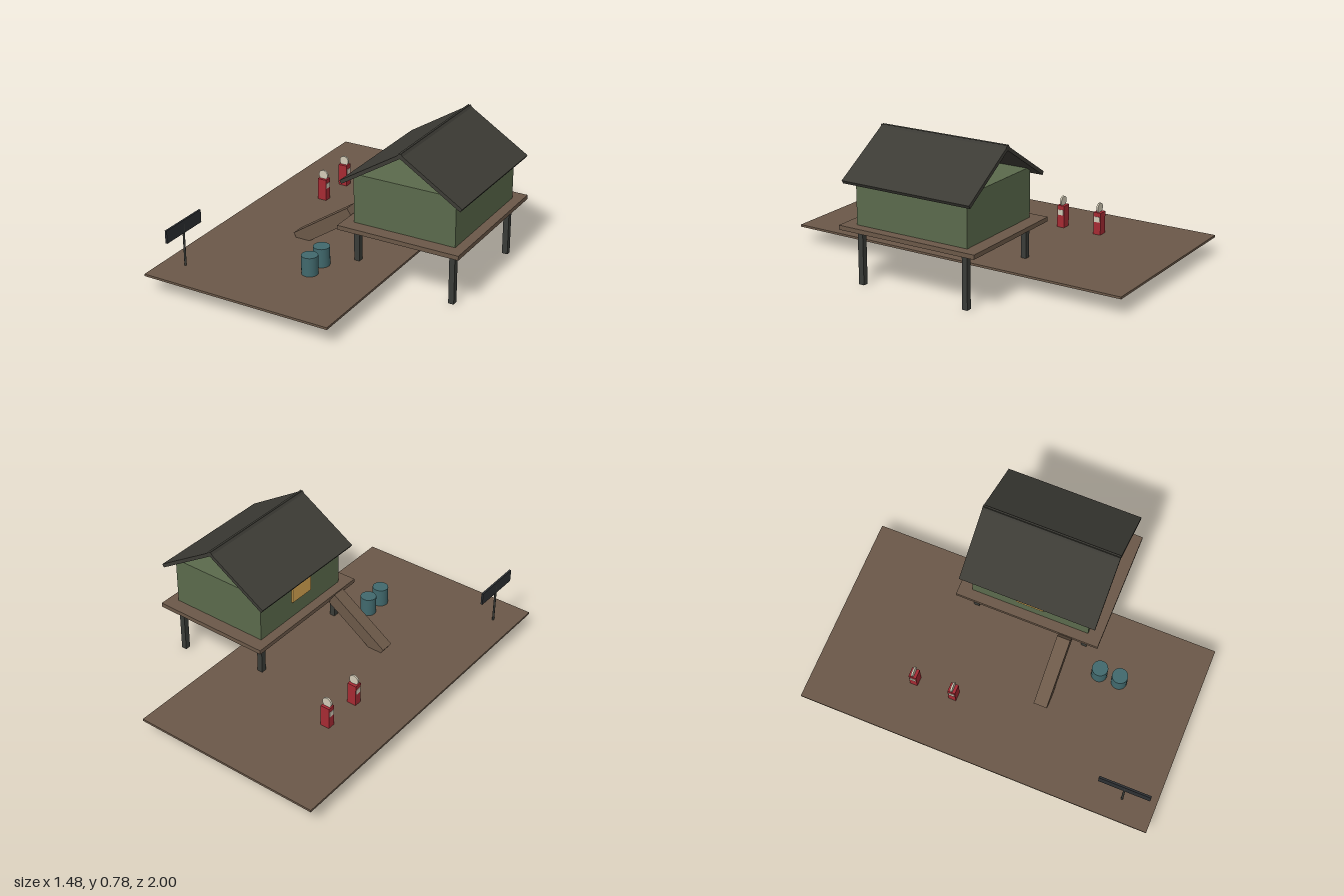
import * as THREE from 'three';

const mat = (name, color) => {
  const m = new THREE.MeshStandardMaterial({ color });
  m.name = name;
  return m;
};

export function createModel() {
  const wood = mat('brown wood', 0x6b5848);
  const green = mat('green wall paint', 0x5b6a4c);
  const roofing = mat('dark roofing', 0x3c3b35);
  const timber = mat('dark timber', 0x3a3c38);
  const teal = mat('teal steel', 0x41696d);
  const red = mat('red enamel', 0xa62a33);
  const cream = mat('cream', 0xd2cab6);
  const amber = mat('amber window', 0xd6a652);
  const board = mat('charcoal board', 0x2d3033);

  const model = new THREE.Group();
  model.name = 'stiltHouseDock';

  const add = (parent, name, geometry, material, x, y, z) => {
    const mesh = new THREE.Mesh(geometry, material);
    mesh.name = name;
    mesh.position.set(x, y, z);
    parent.add(mesh);
    return mesh;
  };
  // Box given by its size and centre
  const box = (parent, name, material, w, h, d, x, y, z) =>
    add(parent, name, new THREE.BoxGeometry(w, h, d), material, x, y, z);
  const group = (name) => {
    const g = new THREE.Group();
    g.name = name;
    model.add(g);
    return g;
  };

  // Lower platform
  box(model, 'platform', wood, 1.086, 0.012, 2, -0.198, 0.098, 0);

  // Stilt house
  const house = group('house');
  const hx = 0.394;
  box(house, 'deck', wood, 0.69, 0.024, 0.82, hx, 0.31, 0);
  for (const sx of [-1, 1]) {
    for (const sz of [-1, 1]) {
      box(house, 'stilt', timber, 0.031, 0.3, 0.031, hx + sx * 0.274, 0.15, sz * 0.318);
    }
  }
  box(house, 'walls', green, 0.58, 0.271, 0.67, hx, 0.457, 0);
  box(house, 'window', amber, 0.009, 0.107, 0.156, 0.0985, 0.472, 0);

  // Two roof slabs meeting at the ridge
  for (const s of [-1, 1]) {
    const slab = box(house, 'roofSlab', roofing, 0.415, 0.02, 0.765, hx + s * 0.164, 0.664, 0);
    slab.rotation.z = -s * 0.558;
  }

  // Ramp beam up to the deck
  const ramp = box(model, 'ramp', wood, 0.4, 0.075, 0.075, -0.125, 0.208, 0.227);
  ramp.rotation.z = 0.592;

  // Barrels
  for (const z of [0.457, 0.572]) {
    add(model, 'barrel', new THREE.CylinderGeometry(0.044, 0.044, 0.117, 24), teal, -0.017, 0.15, z);
  }

  // Pumps with a round head and a display on both sides
  for (const z of [-0.23, -0.457]) {
    const pump = group('pump');
    pump.position.set(-0.425, 0, z);
    box(pump, 'pumpBody', red, 0.053, 0.137, 0.043, 0, 0.16, 0);
    box(pump, 'pumpDisplay', cream, 0.058, 0.03, 0.034, 0, 0.19, 0);
    const head = add(pump, 'pumpHead', new THREE.CylinderGeometry(0.028, 0.028, 0.01, 24), cream, 0, 0.25, 0);
    head.rotation.x = Math.PI / 2;
  }

  // Sign on a post
  const sign = group('sign');
  sign.position.set(-0.617, 0, 0.818);
  add(sign, 'signPost', new THREE.CylinderGeometry(0.006, 0.006, 0.25, 10), timber, 0, 0.2165, 0);
  box(sign, 'signBoard', board, 0.011, 0.071, 0.288, 0, 0.327, 0);

  return model;
}
